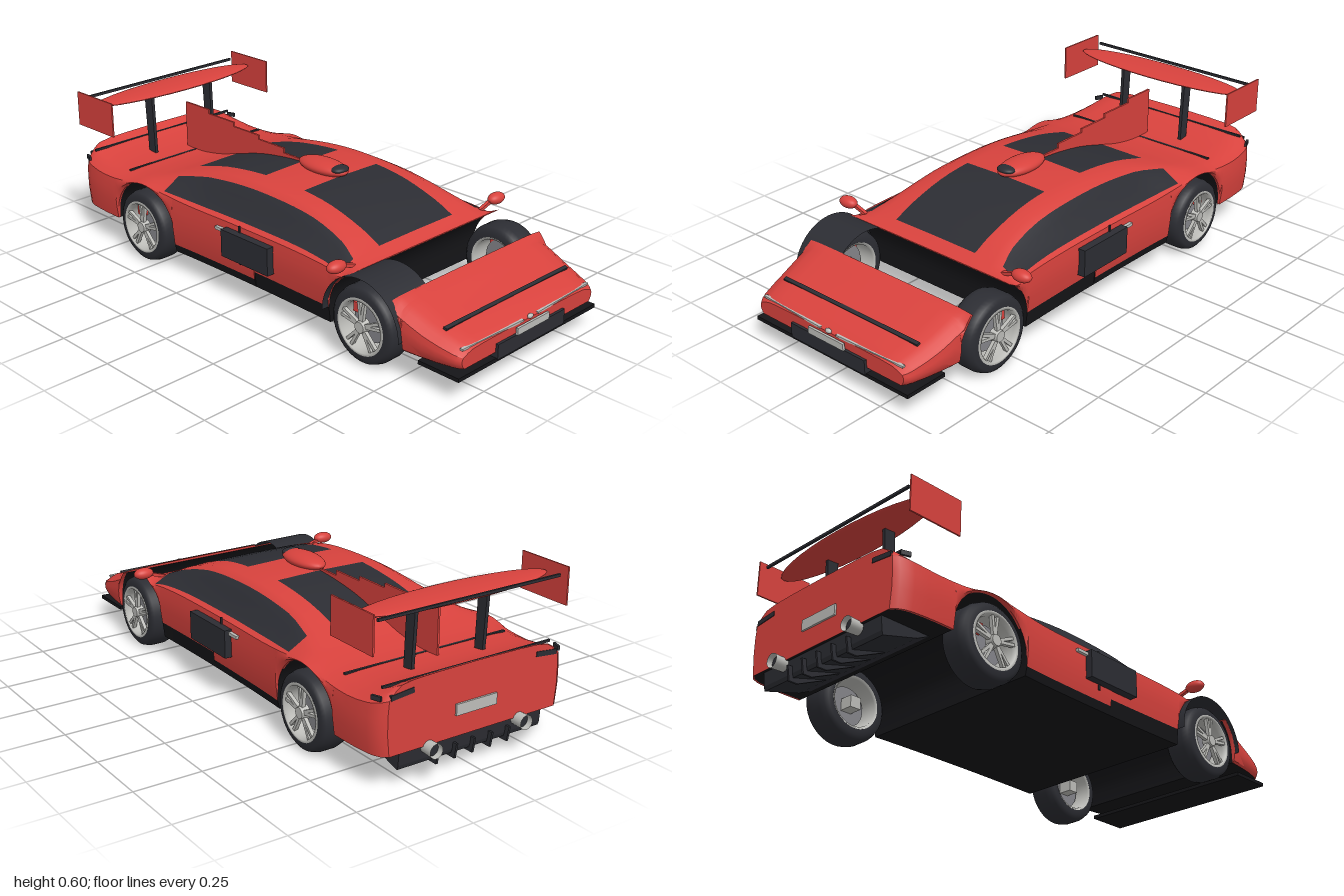
import * as THREE from 'three';
import { toCreasedNormals } from 'three/addons/utils/BufferGeometryUtils.js';

const mat = (name, color, side = THREE.FrontSide) => {
  const m = new THREE.MeshStandardMaterial({ color, side });
  m.name = name;
  return m;
};
const red = mat('body red', 0xd8423d);
const dark = mat('dark glass and rubber', 0x2c2d33, THREE.DoubleSide);
const black = mat('black trim', 0x151518);
const silver = mat('silver', 0xbdbdb9, THREE.DoubleSide);
const steel = mat('brake steel', 0x85858a);

// Body keyframes: z, top height, shoulder height, half width, cabin amount
const KEYS = [
  [-0.96, 0.37, 0.31, 0.355, 0], [-0.945, 0.362, 0.305, 0.375, 0], [-0.9, 0.343, 0.295, 0.392, 0],
  [-0.8, 0.324, 0.287, 0.4, 0], [-0.68, 0.32, 0.295, 0.4, 0.05], [-0.56, 0.337, 0.318, 0.4, 0.25],
  [-0.45, 0.367, 0.31, 0.397, 0.6], [-0.3, 0.406, 0.3, 0.39, 1], [-0.1, 0.43, 0.3, 0.386, 1],
  [0.1, 0.428, 0.3, 0.385, 1], [0.25, 0.41, 0.3, 0.387, 1], [0.4, 0.366, 0.295, 0.39, 0.75],
  [0.48, 0.329, 0.285, 0.393, 0.3], [0.54, 0.303, 0.265, 0.395, 0], [0.72, 0.277, 0.238, 0.4, 0],
  [0.85, 0.229, 0.19, 0.39, 0], [0.96, 0.189, 0.158, 0.367, 0], [0.985, 0.172, 0.15, 0.35, 0],
];
const slope = (i, c) => {
  const a = KEYS[Math.max(i - 1, 0)], b = KEYS[Math.min(i + 1, KEYS.length - 1)];
  return (b[c] - a[c]) / (b[0] - a[0]);
};
function key(z, c) {
  let i = 0;
  while (i < KEYS.length - 2 && z > KEYS[i + 1][0]) i++;
  const d = KEYS[i + 1][0] - KEYS[i][0], t = (z - KEYS[i][0]) / d, t2 = t * t, t3 = t2 * t;
  return (2 * t3 - 3 * t2 + 1) * KEYS[i][c] + (t3 - 2 * t2 + t) * d * slope(i, c)
    + (3 * t2 - 2 * t3) * KEYS[i + 1][c] + (t3 - t2) * d * slope(i + 1, c);
}

// Underside height, with wheel arches cut across the full width
const ARCHES = [-0.56, 0.6], ARCH_R = 0.17, ARCH_Y = 0.145;
function bottom(z) {
  for (const c of ARCHES) {
    const d = Math.abs(z - c);
    if (d <= ARCH_R + 1e-6) return ARCH_Y + Math.sqrt(Math.max(0, ARCH_R ** 2 - d * d));
  }
  return z < -0.7 ? 0.125 : z > 0.7 ? 0.11 : 0.085;
}

const CABIN_X = [0.365, 0.345, 0.305, 0.28, 0.25, 0.19, 0];
const FLAT_X = [0.385, 0.375, 0.357, 0.332, 0.28, 0.19, 0];
const RISE = [0.08, 0.23, 0.54, 0.8, 0.92, 0.97, 1];
function section(z) {
  const yb = bottom(z), w = key(z, 3), k = Math.min(1, Math.max(0, key(z, 4)));
  const ys = Math.max(key(z, 2), yb + 0.002), yt = Math.max(key(z, 1), ys + 0.002);
  const y1 = Math.max(yb, z > 0.05 && z < 0.5 ? 0.145 : 0.117);
  const half = [[0, yb], [w * 0.96, yb], [w * 0.98, y1], [w, y1 + (ys - y1) * 0.4],
    [w, y1 + (ys - y1) * 0.75], [w * 0.988, ys]];
  RISE.forEach((r, j) => half.push([(FLAT_X[j] + (CABIN_X[j] - FLAT_X[j]) * k) * w / 0.39, ys + (yt - ys) * r]));
  return [...half, ...half.slice(1, -1).reverse().map(([x, y]) => [-x, y])];
}

// Lofted shell between two z limits, with windows and underside as material groups
function shell(name, z0, z1) {
  const zs = [z0, z1, -0.46, -0.45, -0.09, 0.11, 0.48, 0.049, 0.051, -0.945, -0.92, 0.97, 0.75];
  for (let z = -0.9; z < 0.96; z += 0.05) zs.push(z);
  for (const c of ARCHES) {
    zs.push(c - ARCH_R - 0.0005, c + ARCH_R + 0.0005);
    for (let i = 0; i <= 20; i++) zs.push(c - ARCH_R * Math.cos(i * Math.PI / 20));
  }
  const st = zs.filter(z => z >= z0 && z <= z1).sort((a, b) => a - b).filter((z, i, a) => !i || z - a[i - 1] > 1e-4);
  const pos = [], faces = [[], [], []], N = 24;
  for (const z of st) for (const [x, y] of section(z)) pos.push(x, y, z);
  for (let s = 0; s < st.length - 1; s++) {
    const z = (st[s] + st[s + 1]) / 2;
    for (let i = 0; i < N; i++) {
      const row = i < 12 ? i : 23 - i;
      let m = 0;
      if (row <= 1) m = row === 0 || (z > -0.42 && z < 0.46) ? 2 : 0;
      if (row >= 6 && row <= 8 && z > -0.45 && z < 0.48) m = 1;
      if (row === 11 && ((z > 0.11 && z < 0.48) || (z > -0.46 && z < -0.09))) m = 1;
      const a = s * N + i, b = s * N + (i + 1) % N;
      faces[m].push(a, b, b + N, a, b + N, a + N);
    }
  }
  const e = (st.length - 1) * N;
  for (let i = 1; i < N - 1; i++) faces[0].push(0, i + 1, i, e, e + i, e + i + 1);
  const g = new THREE.BufferGeometry();
  g.setAttribute('position', new THREE.Float32BufferAttribute(pos, 3));
  g.setIndex(faces.flat());
  let start = 0;
  faces.forEach((f, m) => { g.addGroup(start, f.length, m); start += f.length; });
  const mesh = new THREE.Mesh(toCreasedNormals(g, 0.6), [red, dark, black]);
  mesh.name = name;
  return mesh;
}

export function createModel() {
  const car = new THREE.Group();
  car.name = 'racingCar';
  const add = (name, geo, m, x = 0, y = 0, z = 0, parent = car) => {
    const mesh = new THREE.Mesh(geo, m);
    mesh.name = name;
    mesh.position.set(x, y, z);
    parent.add(mesh);
    return mesh;
  };
  const box = (name, m, w, h, d, x, y, z, parent) => add(name, new THREE.BoxGeometry(w, h, d), m, x, y, z, parent);
  const ball = (name, m, rx, ry, rz, x, y, z) =>
    add(name, new THREE.SphereGeometry(1, 32, 20).scale(rx, ry, rz), m, x, y, z);
  // Side outline of [z, y] points extruded across x
  const slab = (name, m, pts, width, x = 0) => {
    const g = new THREE.ExtrudeGeometry(new THREE.Shape(pts.map(p => new THREE.Vector2(...p))), { depth: width, bevelEnabled: false });
    return add(name, g.rotateY(-Math.PI / 2).translate(width / 2, 0, 0), m, x);
  };

  car.add(shell('mainBody', -0.96, 0.532), shell('nose', 0.716, 0.985));

  // Wheels
  const lathe = pts => new THREE.LatheGeometry(pts.map(p => new THREE.Vector2(...p)), 48).rotateZ(-Math.PI / 2);
  const tyre = lathe([[0.1, -0.06], [0.122, -0.06], [0.135, -0.048], [0.142, -0.025], [0.142, 0.025],
    [0.135, 0.048], [0.122, 0.058], [0.1, 0.058]]);
  const rim = lathe([[0.1, -0.06], [0.09, -0.055], [0.088, 0.045], [0.093, 0.062], [0.103, 0.06]]);
  const disc = new THREE.CylinderGeometry(0.075, 0.075, 0.012, 32).rotateZ(Math.PI / 2);
  const hub = new THREE.CylinderGeometry(0.02, 0.026, 0.03, 20).rotateZ(-Math.PI / 2);
  for (const z of ARCHES) for (const s of [1, -1]) {
    const w = new THREE.Group();
    w.name = 'wheel';
    w.position.set(0.35 * s, 0.142, z);
    if (s < 0) w.rotation.y = Math.PI;
    car.add(w);
    add('tyre', tyre, dark, 0, 0, 0, w);
    add('rim', rim, silver, 0, 0, 0, w);
    add('brakeDisc', disc, steel, 0, 0, 0, w);
    add('hub', hub, silver, 0.05, 0, 0, w);
    box('axle', silver, 0.06, 0.045, 0.045, -0.03, 0, 0, w);
    box('brakeCaliper', red, 0.03, 0.035, 0.035, 0.012, 0.045, -0.045 * s, w);
    for (let i = 0; i < 10; i++) {
      const a = Math.floor(i / 2) * Math.PI * 0.4 + (i % 2 ? 0.13 : -0.13);
      const spoke = box('spoke', silver, 0.014, 0.075, 0.011, 0.05, Math.cos(a) * 0.055, Math.sin(a) * 0.055, w);
      spoke.rotation.x = a;
    }
  }
  // Single exposed front wheel liner
  add('wheelLiner', new THREE.CylinderGeometry(0.173, 0.173, 0.195, 32, 1, true, 0, Math.PI).rotateZ(Math.PI / 2),
    dark, -0.317, 0.145, 0.6);

  // Nose details
  box('noseSlot', dark, 0.65, 0.009, 0.014, 0, key(0.89, 1) - 0.002, 0.89).rotation.x = 0.36;
  box('frontBumper', dark, 0.36, 0.055, 0.06, 0, 0.113, 0.965);
  box('splitter', black, 0.74, 0.014, 0.17, 0, 0.083, 0.905);
  box('frontPlate', silver, 0.17, 0.026, 0.009, 0, 0.153, 0.9955);
  ball('noseStud', silver, 0.013, 0.009, 0.008, 0, 0.176, 0.984);

  // Parts on both sides
  for (const s of [1, -1]) {
    box('lightStrip', silver, 0.3, 0.007, 0.012, 0.188 * s, 0.174, 0.976).rotation.y = 0.04 * s;
    ball('mirror', red, 0.04, 0.022, 0.026, 0.42 * s, 0.332, 0.5);
    box('mirrorStalk', red, 0.07, 0.012, 0.014, 0.365 * s, 0.318, 0.495).rotation.z = 0.3 * s;
    box('sideScoop', dark, 0.035, 0.105, 0.245, 0.395 * s, 0.228, 0.033);
    box('doorGap', dark, 0.006, 0.15, 0.008, 0.384 * s, 0.23, -0.02);
    box('doorHandle', silver, 0.014, 0.012, 0.06, 0.39 * s, 0.267, -0.11);
    box('wingEndPlate', red, 0.006, 0.135, 0.22, 0.4 * s, 0.533, -0.83);
    slab('wingStrut', dark, [[-0.78, 0.31], [-0.82, 0.31], [-0.835, 0.56], [-0.79, 0.56]], 0.013, 0.15 * s);
    box('tailLight', dark, 0.09, 0.018, 0.009, 0.3 * s, 0.327, -0.958).rotation.z = -0.1 * s;
    box('sideMarker', dark, 0.009, 0.016, 0.035, 0.377 * s, 0.322, -0.928).rotation.y = 0.35 * s;
    add('exhaust', new THREE.CylinderGeometry(0.026, 0.022, 0.08, 24, 1, true).rotateX(-Math.PI / 2), silver, 0.19 * s, 0.118, -0.96);
    add('exhaustCore', new THREE.CircleGeometry(0.023, 24).rotateY(Math.PI), dark, 0.19 * s, 0.118, -0.98);
  }

  // Roof scoop and stepped fin
  ball('roofScoop', red, 0.057, 0.028, 0.116, 0, 0.443, 0.02);
  ball('scoopMouth', dark, 0.038, 0.014, 0.03, 0, 0.452, 0.103);
  const fin = [[-0.765, 0.3], [-0.09, 0.4]];
  [[-0.09, 0.438], [-0.19, 0.457], [-0.33, 0.473], [-0.475, 0.49], [-0.625, 0.507]].forEach(([z, y], i, a) =>
    fin.push([z, y], [i < 4 ? a[i + 1][0] : -0.765, y]));
  slab('stepFin', red, fin, 0.008);

  // Rear wing
  ball('wingBlade', red, 0.395, 0.014, 0.084, 0, 0.563, -0.837);
  box('wingFlap', dark, 0.75, 0.01, 0.008, 0, 0.573, -0.924);

  // Tail
  box('deckGap', dark, 0.68, 0.006, 0.01, 0, key(-0.71, 1) - 0.002, -0.71);
  box('lipGap', dark, 0.7, 0.008, 0.008, 0, key(-0.92, 1) - 0.003, -0.92);
  box('rearPlate', silver, 0.17, 0.04, 0.008, 0, 0.22, -0.963);
  slab('diffuser', dark, [[-0.74, 0.13], [-0.95, 0.13], [-0.945, 0.075], [-0.94, 0.06], [-0.8, 0.1]], 0.6);
  for (let i = -2; i <= 2; i++)
    slab('diffuserFin', dark, [[-0.8, 0.1], [-0.965, 0.1], [-0.955, 0.045], [-0.92, 0.045]], 0.008, i * 0.075);
  return car;
}
